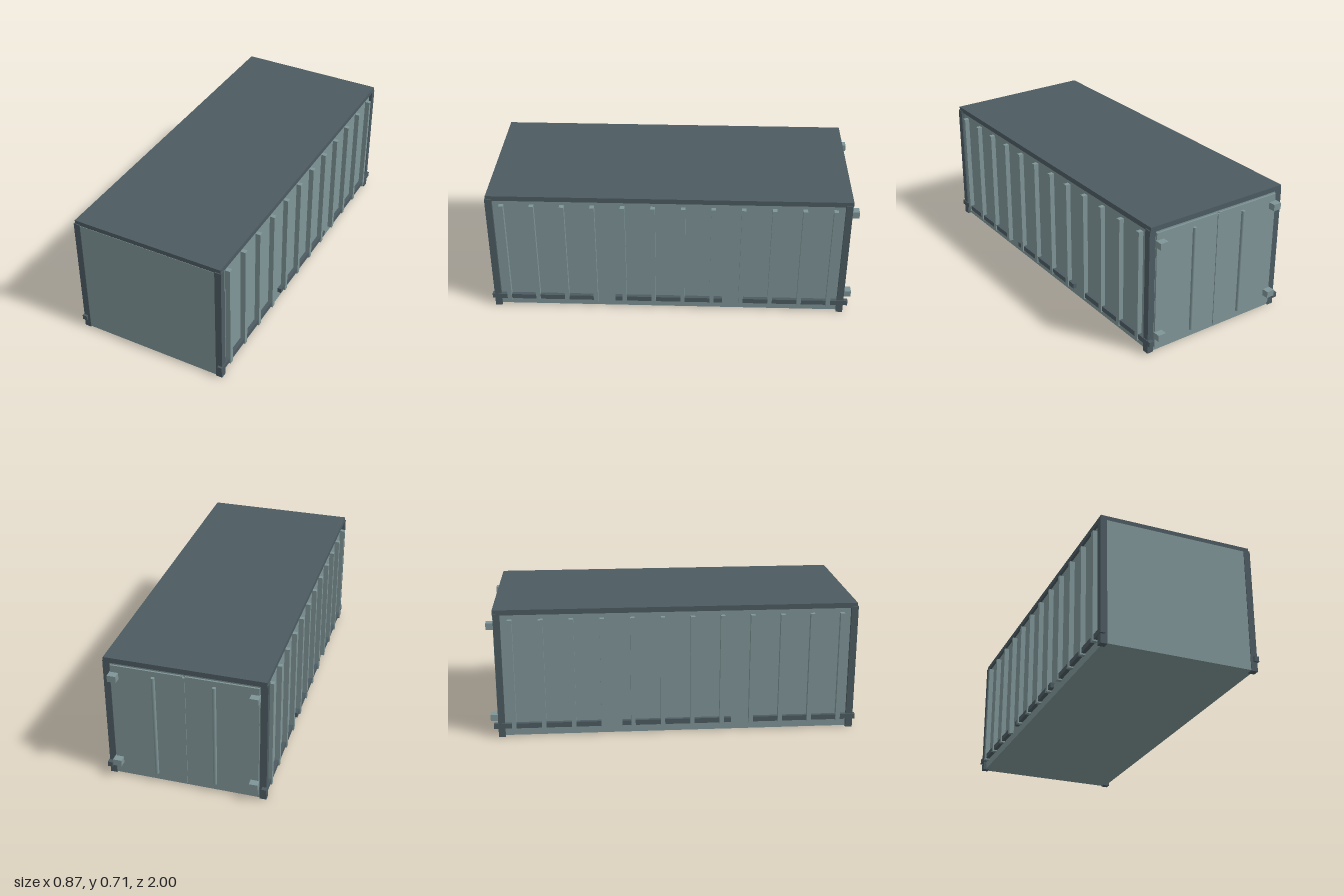
import * as THREE from 'three';

export function createModel() {
  const root = new THREE.Group();
  root.name = 'cargoContainer';
  const panel = new THREE.MeshStandardMaterial({ color: 0x7f9597 });
  panel.name = 'panelGrey';
  const frame = new THREE.MeshStandardMaterial({ color: 0x4d5c62 });
  frame.name = 'frameSlate';

  // Box given by its low and high limits on each axis
  function box(name, mat, [x0, x1], [y0, y1], [z0, z1]) {
    const mesh = new THREE.Mesh(new THREE.BoxGeometry(x1 - x0, y1 - y0, z1 - z0), mat);
    mesh.position.set((x0 + x1) / 2, (y0 + y1) / 2, (z0 + z1) / 2);
    mesh.name = name;
    root.add(mesh);
  }
  // The same box on the left (+x) and the right (-x)
  function pair(name, mat, [x0, x1], y, z) {
    box(name + 'Left', mat, [x0, x1], y, z);
    box(name + 'Right', mat, [-x1, -x0], y, z);
  }

  // Main shell and roof
  box('body', panel, [-0.407, 0.407], [0.004, 0.69], [-0.953, 0.985]);
  box('roof', frame, [-0.419, 0.419], [0.687, 0.715], [-0.96, 0.983]);

  // Corner posts
  pair('frontPost', frame, [0.388, 0.424], [0, 0.696], [0.951, 0.988]);
  pair('backPost', frame, [0.388, 0.424], [0, 0.696], [-0.957, -0.921]);

  // Lower side rails in three lengths
  const rails = [[0.43, 1], [-0.285, 0.31], [-0.98, -0.4]];
  rails.forEach((z, i) => pair('sideRail' + (i + 1), frame, [0.402, 0.428], [0.05, 0.078], z));

  // Upright ribs along both sides
  for (let i = 0; i < 12; i++) {
    const z = 0.903 - i * 0.1613;
    pair('rib' + (i + 1), panel, [0.4, 0.434], [0.042, 0.661], [z - 0.012, z + 0.012]);
  }

  // Back doors with centre strip
  pair('door', panel, [0.006, 0.383], [0.022, 0.675], [-0.962, -0.95]);
  box('doorStrip', panel, [-0.006, 0.006], [0.022, 0.67], [-0.967, -0.95]);

  // Locking rods and hinge blocks
  for (const [side, s] of [['Left', 1], ['Right', -1]]) {
    const rod = new THREE.Mesh(new THREE.CylinderGeometry(0.01, 0.01, 0.59, 12), panel);
    rod.position.set(s * 0.157, 0.35, -0.97);
    rod.name = 'lockRod' + side;
    root.add(rod);
  }
  pair('lowerHinge', panel, [0.342, 0.388], [0.08, 0.116], [-1, -0.955]);
  pair('upperHinge', panel, [0.342, 0.388], [0.6, 0.636], [-1, -0.955]);

  return root;
}
